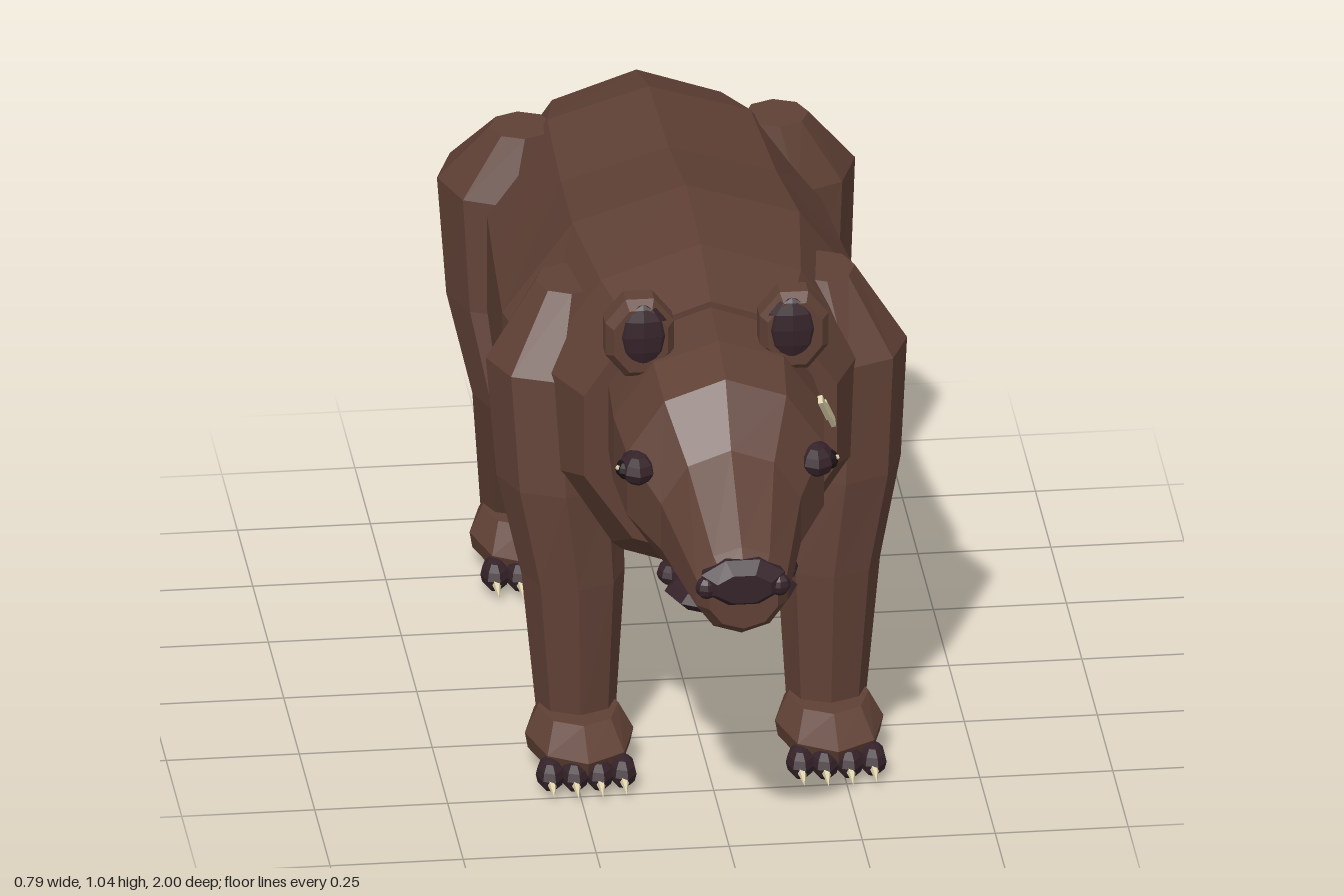
import * as THREE from 'three';

const mat = (name, color) => {
  const m = new THREE.MeshStandardMaterial({ color });
  m.name = name;
  m.flatShading = true;
  return m;
};

// Faceted solid through elliptical rings [cx, cy, cz, r1, r2], running along +z or +y
function loft(rings, sides, axis, phase = 0) {
  const pts = rings.map(([cx, cy, cz, r1, r2]) =>
    Array.from({ length: sides }, (_, j) => {
      const a = phase + (j / sides) * Math.PI * 2;
      return axis === 'z'
        ? [cx + Math.cos(a) * r1, cy + Math.sin(a) * r2, cz]
        : [cx + Math.sin(a) * r1, cy, cz + Math.cos(a) * r2];
    }));
  const pos = [];
  const tri = (...p) => p.forEach((v) => pos.push(...v));
  const last = rings.length - 1;
  for (let j = 0; j < sides; j++) {
    const k = (j + 1) % sides;
    for (let i = 0; i < last; i++) {
      tri(pts[i][j], pts[i][k], pts[i + 1][k]);
      tri(pts[i][j], pts[i + 1][k], pts[i + 1][j]);
    }
    tri(rings[0].slice(0, 3), pts[0][k], pts[0][j]);
    tri(rings[last].slice(0, 3), pts[last][j], pts[last][k]);
  }
  const g = new THREE.BufferGeometry();
  g.setAttribute('position', new THREE.Float32BufferAttribute(pos, 3));
  g.computeVertexNormals();
  return g;
}

export function createModel() {
  const model = new THREE.Group();
  model.name = 'bear';
  const fur = mat('brown fur', 0x5f4035);
  const dark = mat('dark skin', 0x35232a);
  const black = mat('black pupil', 0x1a1114);
  const cream = mat('cream claw', 0xd8cba6);

  const add = (name, geo, material, parent = model) => {
    const m = new THREE.Mesh(geo, material);
    m.name = name;
    parent.add(m);
    return m;
  };
  const blob = (name, material, p, r, parent, ws = 8, hs = 6) => {
    const m = add(name, new THREE.SphereGeometry(1, ws, hs), material, parent);
    m.position.set(...p);
    m.scale.set(...r);
    return m;
  };

  // Body and head, ten-sided with a ridge along the back
  const ridge = Math.PI / 2;
  add('body', loft([
    [0, 0.6, -0.89, 0.12, 0.18],
    [0, 0.625, -0.75, 0.27, 0.285],
    [0, 0.66, -0.55, 0.325, 0.308],
    [0, 0.67, -0.23, 0.345, 0.32],
    [0, 0.688, 0.05, 0.363, 0.353],
    [0, 0.695, 0.29, 0.32, 0.335],
    [0, 0.72, 0.45, 0.25, 0.265],
  ], 10, 'z', ridge), fur);
  add('head', loft([
    [0, 0.755, 0.42, 0.2, 0.22],
    [0, 0.752, 0.58, 0.208, 0.212],
    [0, 0.73, 0.69, 0.195, 0.205],
    [0, 0.68, 0.78, 0.138, 0.15],
    [0, 0.622, 0.95, 0.09, 0.088],
    [0, 0.62, 0.985, 0.068, 0.062],
  ], 10, 'z', ridge), fur);
  add('tail', loft([
    [0, 0.72, -1.0, 0.02, 0.015],
    [0, 0.715, -0.96, 0.07, 0.085],
    [0, 0.71, -0.91, 0.09, 0.105],
    [0, 0.71, -0.83, 0.1, 0.1],
  ], 8, 'z', Math.PI / 8), fur);

  // Muzzle
  add('nose', loft([
    [0, 0.65, 0.93, 0.075, 0.043],
    [0, 0.648, 0.975, 0.085, 0.05],
    [0, 0.645, 1.0, 0.055, 0.03],
  ], 8, 'z', Math.PI / 8), dark);
  blob('lowerLip', dark, [0, 0.548, 0.78], [0.125, 0.032, 0.105], model, 10, 6);

  for (const s of [1, -1]) {
    const side = s > 0 ? 'left' : 'right';
    blob(side + 'Nostril', dark, [s * 0.068, 0.642, 0.975], [0.022, 0.022, 0.022]);
    blob(side + 'MouthCorner', dark, [s * 0.108, 0.558, 0.72], [0.025, 0.022, 0.035]);

    // Eyes
    blob(side + 'Eye', dark, [s * 0.168, 0.773, 0.71], [0.036, 0.031, 0.05]);
    blob(side + 'Pupil', black, [s * 0.192, 0.773, 0.715], [0.018, 0.018, 0.026]);
    blob(side + 'Glint', cream, [s * 0.206, 0.78, 0.724], [0.005, 0.005, 0.006], model, 5, 4);

    // Ears with dark inner faces
    add(side + 'Ear', loft([
      [s * 0.145, 0.965, 0.475, 0.045, 0.055],
      [s * 0.145, 0.965, 0.51, 0.07, 0.085],
      [s * 0.145, 0.965, 0.55, 0.07, 0.085],
      [s * 0.145, 0.965, 0.57, 0.055, 0.068],
    ], 8, 'z', Math.PI / 8), fur);
    blob(side + 'InnerEar', dark, [s * 0.14, 0.975, 0.562], [0.05, 0.062, 0.018]);

    // Legs, eight-sided and bulging at shoulder and hip
    add(side + 'FrontLeg', loft([
      [s * 0.235, 0.09, 0.295, 0.075, 0.08],
      [s * 0.24, 0.37, 0.29, 0.097, 0.09],
      [s * 0.263, 0.56, 0.255, 0.117, 0.122],
      [s * 0.27, 0.785, 0.22, 0.126, 0.13],
      [s * 0.24, 0.93, 0.2, 0.06, 0.07],
    ], 8, 'y'), fur);
    add(side + 'HindLeg', loft([
      [s * 0.235, 0.09, -0.6, 0.075, 0.072],
      [s * 0.24, 0.38, -0.495, 0.098, 0.115],
      [s * 0.263, 0.56, -0.555, 0.117, 0.125],
      [s * 0.268, 0.78, -0.595, 0.125, 0.15],
      [s * 0.24, 0.9, -0.55, 0.06, 0.062],
    ], 8, 'y'), fur);

    // Feet with pads, toes and claws
    for (const [end, z] of [['Front', 0], ['Hind', -0.895]]) {
      const foot = new THREE.Group();
      foot.name = side + end + 'Foot';
      foot.position.set(s * 0.235, 0, z);
      model.add(foot);
      add('paw', loft([
        [0, 0.012, 0.335, 0.075, 0.115],
        [0, 0.035, 0.34, 0.096, 0.145],
        [0, 0.068, 0.345, 0.102, 0.155],
        [0, 0.112, 0.325, 0.076, 0.1],
      ], 8, 'y'), fur, foot);
      blob('pad', dark, [0, 0.014, 0.33], [0.07, 0.012, 0.1], foot);
      [-0.068, -0.023, 0.023, 0.068].forEach((x) => {
        const tz = 0.47 - Math.abs(x) * 0.15;
        blob('toe', dark, [x, 0.034, tz], [0.027, 0.031, 0.045], foot, 7, 6);
        const claw = add('claw', new THREE.ConeGeometry(0.011, 0.045, 5), cream, foot);
        claw.position.set(x, 0.024, tz + 0.05);
        claw.rotation.x = Math.PI / 2 + 0.35;
      });
    }
  }

  // Three thin scars behind the left eye
  [[0.63, 0.835, 0.06], [0.605, 0.82, 0.1], [0.575, 0.807, 0.065]].forEach(([z, y, len]) => {
    const scar = add('scar', new THREE.BoxGeometry(0.009, len, 0.009), cream);
    scar.position.set(0.203 - (y - 0.815) * 0.5, y, z);
    scar.rotation.set(0.55, 0, 0.32);
  });
  return model;
}
